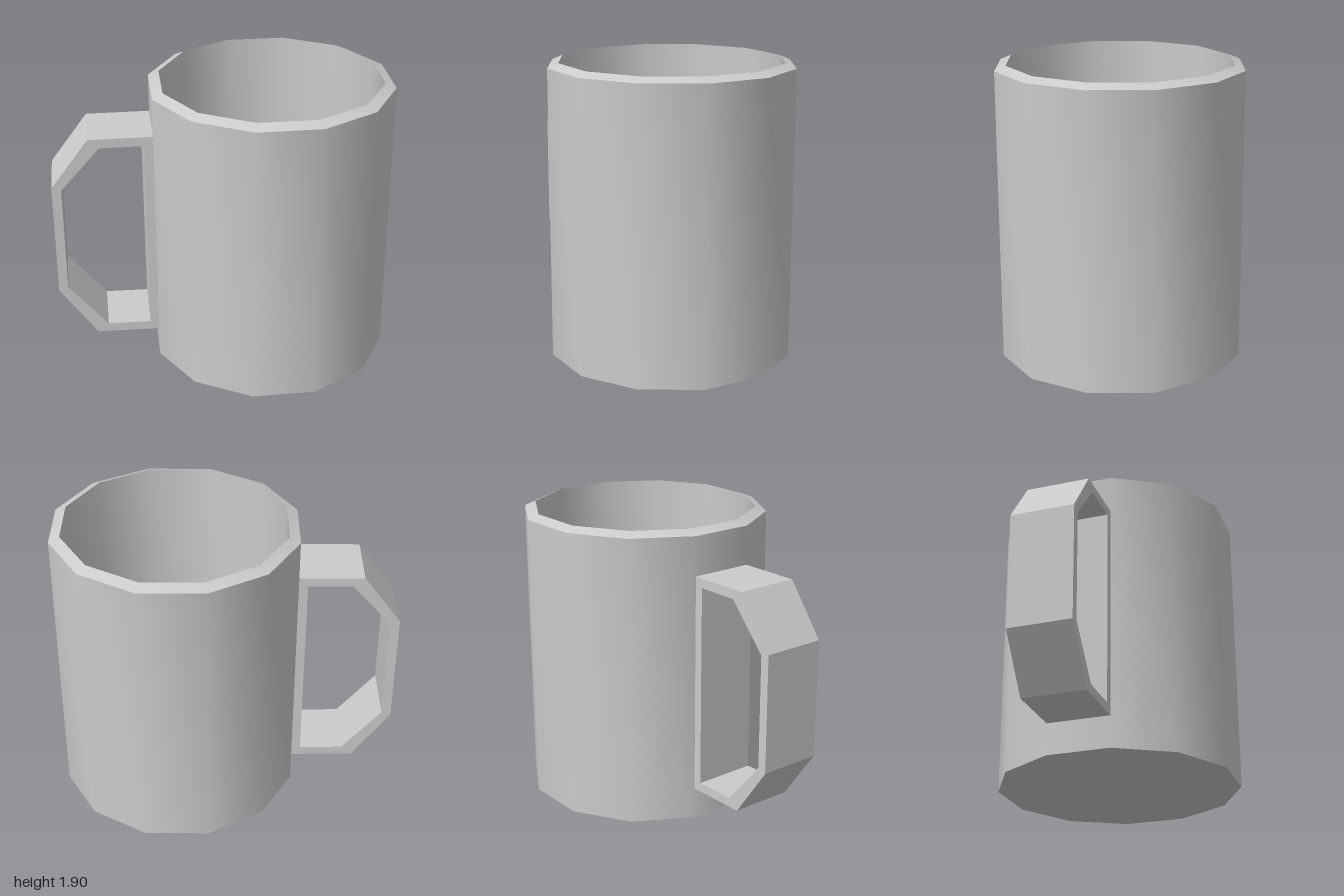
import * as THREE from 'three';
import { toCreasedNormals } from 'three/addons/utils/BufferGeometryUtils.js';

const SIDES = 12;
const RADIUS = 0.79;
const APOTHEM = RADIUS * Math.cos(Math.PI / SIDES);
const SIDE_WIDTH = 2 * RADIUS * Math.sin(Math.PI / SIDES);

const points = (list) => list.map(([x, y]) => new THREE.Vector2(x, y));

export function createModel() {
  const material = new THREE.MeshStandardMaterial({ color: 0xcccccc });
  const mug = new THREE.Group();
  mug.name = 'mug';

  // Twelve-sided hollow body: base, outer wall, sloped rim, inner wall, floor
  const profile = points([
    [0, 0], [RADIUS, 0], [RADIUS, 1.87], [0.72, 1.9], [0.72, 0.07], [0, 0.07],
  ]);
  const bodyGeometry = toCreasedNormals(
    new THREE.LatheGeometry(profile, SIDES), THREE.MathUtils.degToRad(40));
  const body = new THREE.Mesh(bodyGeometry, material);
  body.name = 'body';
  mug.add(body);

  // Angular handle loop, as wide as one wall facet; x is distance from the axis
  const outline = new THREE.Shape(points([
    [APOTHEM, 0.205], [1.17, 0.21], [1.41, 0.55], [1.41, 1.3], [1.17, 1.62], [APOTHEM, 1.62],
  ]));
  outline.holes.push(new THREE.Path(points([
    [0.82, 0.265], [0.82, 1.56], [1.1, 1.56], [1.35, 1.28], [1.35, 0.57], [1.1, 0.27],
  ])));
  const handleGeometry = new THREE.ExtrudeGeometry(outline, { depth: SIDE_WIDTH, bevelEnabled: false });
  handleGeometry.translate(0, 0, -SIDE_WIDTH / 2);
  const handle = new THREE.Mesh(handleGeometry, material);
  handle.name = 'handle';
  handle.rotation.y = THREE.MathUtils.degToRad(135);
  mug.add(handle);

  // Turn the whole mug and centre its bounds
  mug.rotation.y = THREE.MathUtils.degToRad(4.8);
  mug.position.set(0.21, 0, 0.135);

  const model = new THREE.Group();
  model.add(mug);
  return model;
}
